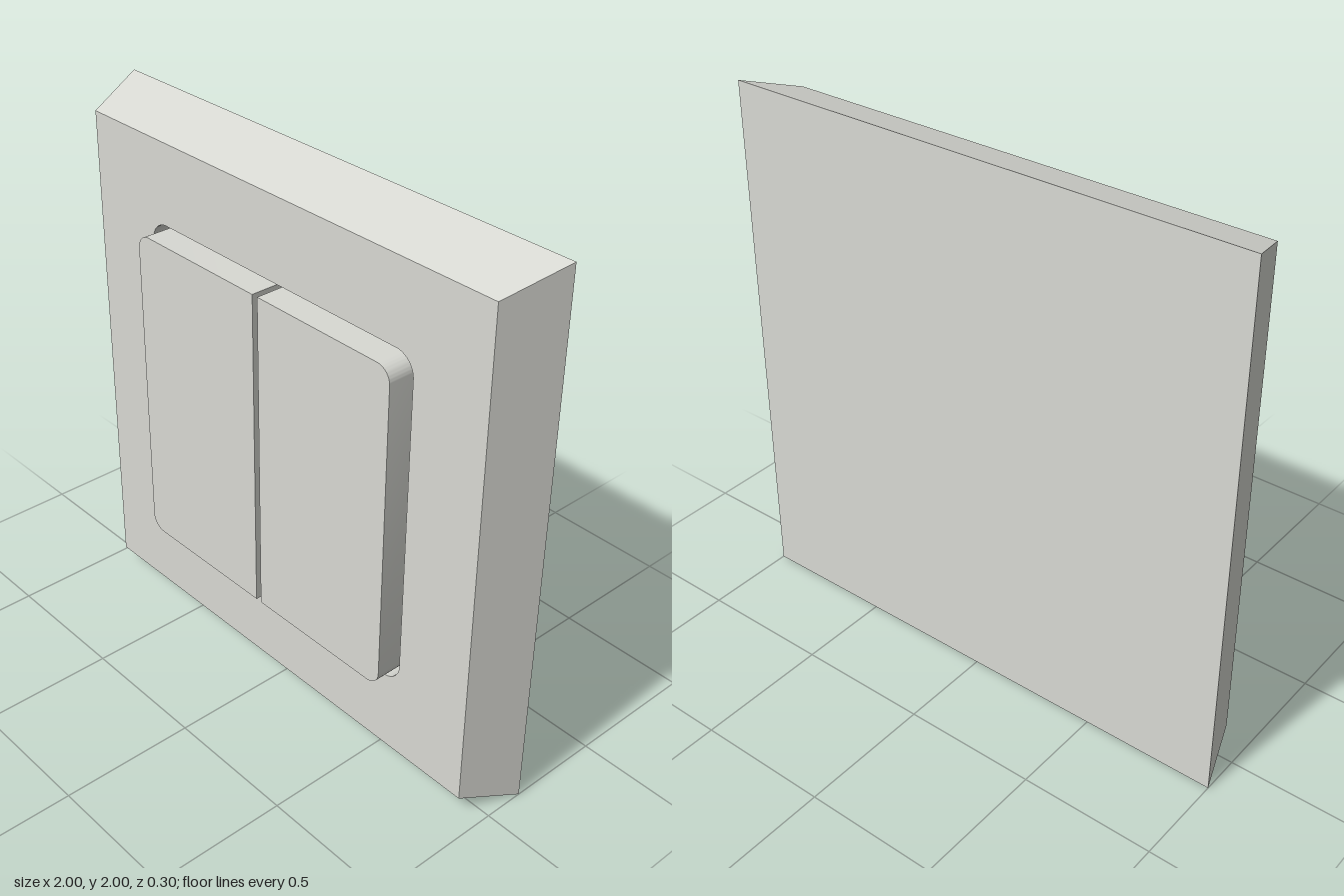
import * as THREE from 'three';
import { toCreasedNormals } from 'three/addons/utils/BufferGeometryUtils.js';

const BACK = -0.15, FLOOR = 0, FACE = 0.073, ROCKER_FACE = 0.15;

// Rectangle with separate radii for its left and right corners
function roundedRect(path, x0, x1, y0, y1, rLeft, rRight) {
  const corner = (x, y, r, start) => {
    if (r > 0) path.absarc(x, y, r, start, start + Math.PI / 2, false);
    else path.lineTo(x, y);
  };
  path.moveTo(x0 + rLeft, y0);
  corner(x1 - rRight, y0 + rRight, rRight, -Math.PI / 2);
  corner(x1 - rRight, y1 - rRight, rRight, 0);
  corner(x0 + rLeft, y1 - rLeft, rLeft, Math.PI / 2);
  corner(x0 + rLeft, y0 + rLeft, rLeft, Math.PI);
  path.closePath();
  return path;
}

function slab(shape, z0, z1) {
  const geometry = new THREE.ExtrudeGeometry(shape, { depth: z1 - z0, bevelEnabled: false, curveSegments: 8 });
  return geometry.translate(0, 0, z0);
}

// Slope the outer sides inward from the back to the front face
function taper(geometry) {
  const p = geometry.attributes.position;
  for (let i = 0; i < p.count; i++) {
    const x = p.getX(i), y = p.getY(i);
    if (Math.abs(x) < 0.9) continue;
    const s = 1 - 0.073 * (p.getZ(i) - BACK) / (FACE - BACK);
    p.setXY(i, x * s, y * s);
  }
  return geometry;
}

export function createModel() {
  const group = new THREE.Group();
  const plastic = new THREE.MeshStandardMaterial({ color: 0xd8d9d3 });
  plastic.name = 'warm grey plastic';

  const add = (name, geometry) => {
    const mesh = new THREE.Mesh(toCreasedNormals(geometry, 0.6), plastic);
    mesh.name = name;
    mesh.position.y = 1;
    group.add(mesh);
  };
  const square = () => roundedRect(new THREE.Shape(), -1, 1, -1, 1, 0, 0);

  // Solid back of the wall plate, which is also the floor of the recess
  add('backPlate', taper(slab(square(), BACK, FLOOR)));

  // Front frame with the rounded opening
  const frame = square();
  frame.holes.push(roundedRect(new THREE.Path(), -0.627, 0.627, -0.627, 0.627, 0.075, 0.075));
  add('frontFrame', taper(slab(frame, FLOOR, FACE)));

  // Two rockers, rounded only at their outer corners
  const r = 0.055;
  add('rightRocker', slab(roundedRect(new THREE.Shape(), -0.607, -0.012, -0.607, 0.607, r, 0), FLOOR, ROCKER_FACE));
  add('leftRocker', slab(roundedRect(new THREE.Shape(), 0.012, 0.607, -0.607, 0.607, 0, r), FLOOR, ROCKER_FACE));

  return group;
}
